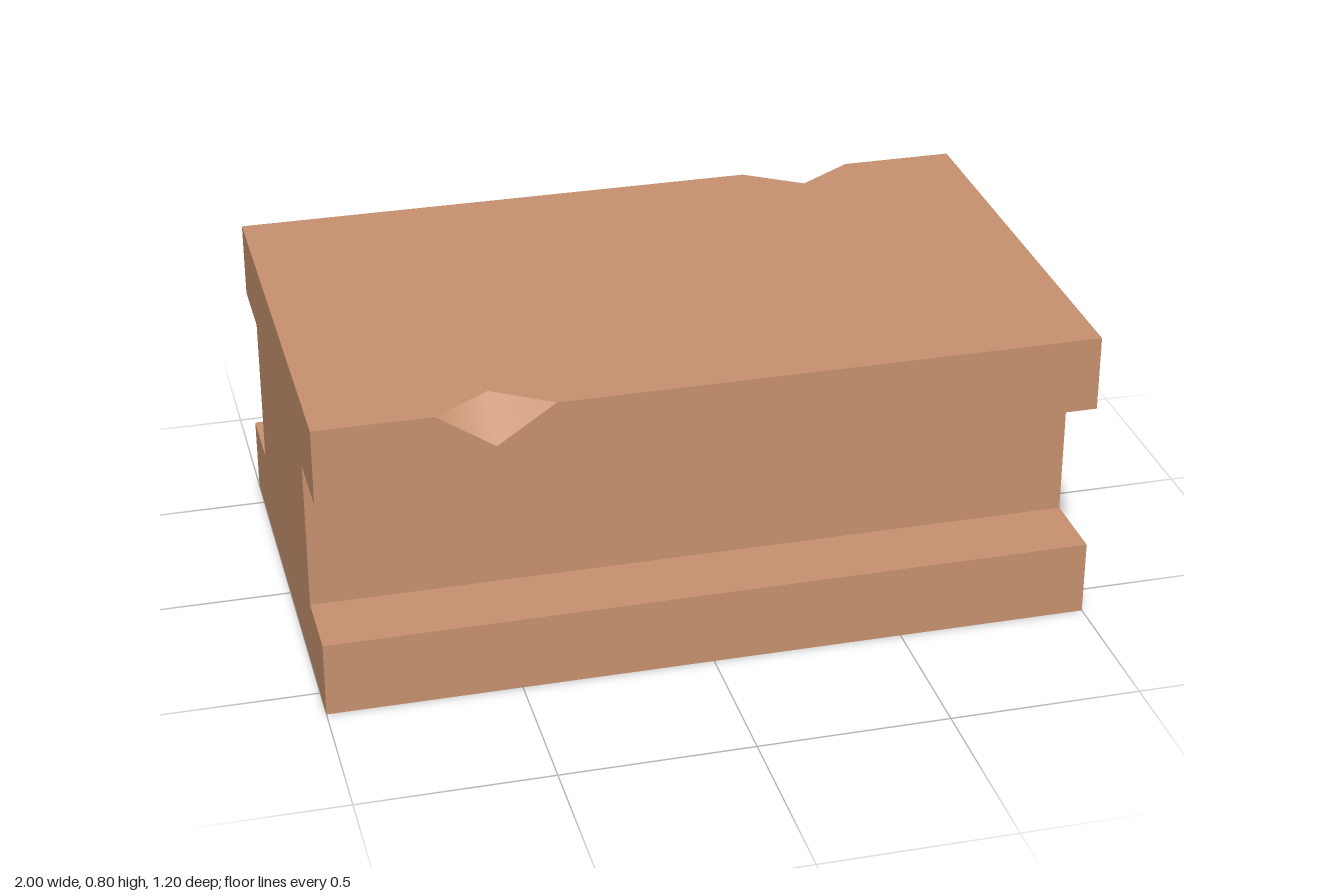
import * as THREE from 'three';

export function createModel() {
  const model = new THREE.Group();
  model.name = 'groovedBlock';
  const clay = new THREE.MeshStandardMaterial({ color: 0xc8926f });
  clay.name = 'clay';

  // Flat panel: a 2D outline (counter-clockwise) placed in space by a mapping rule
  function panel(parent, name, outline, place) {
    const shape = new THREE.Shape(outline.map(([u, v]) => new THREE.Vector2(u, v)));
    const geometry = new THREE.ShapeGeometry(shape);
    const pos = geometry.attributes.position;
    for (let i = 0; i < pos.count; i++) pos.setXYZ(i, ...place(pos.getX(i), pos.getY(i)));
    geometry.computeVertexNormals();
    const mesh = new THREE.Mesh(geometry, clay);
    mesh.name = name;
    parent.add(mesh);
  }

  // One long side with its end; the other half is the same, turned half round
  function createHalf(name) {
    const half = new THREE.Group();
    half.name = name;

    // Upper flange face, notched at its top edge
    panel(half, 'upperFlangeFace',
      [[-1, 0.6], [1, 0.6], [1, 0.8], [-0.4, 0.8], [-0.55, 0.7], [-0.7, 0.8], [-1, 0.8]],
      (x, y) => [x, y, 0.6]);

    // Groove and lower flange, as strips down the profile (z, y)
    const profile = [[0.6, 0.6], [0.4, 0.6], [0.4, 0.2], [0.6, 0.2], [0.6, 0]];
    const names = ['grooveCeiling', 'grooveWall', 'grooveFloor', 'lowerFlangeFace'];
    names.forEach((part, i) => {
      const [za, ya] = profile[i];
      const [zb, yb] = profile[i + 1];
      panel(half, part, [[-1, 0], [1, 0], [1, 1], [-1, 1]],
        (x, t) => [x, yb + (ya - yb) * t, zb + (za - zb) * t]);
    });

    // I-shaped end
    panel(half, 'endFace',
      [[-0.6, 0], [0.6, 0], [0.6, 0.2], [0.4, 0.2], [0.4, 0.6], [0.6, 0.6],
        [0.6, 0.8], [-0.6, 0.8], [-0.6, 0.6], [-0.4, 0.6], [-0.4, 0.2], [-0.6, 0.2]],
      (u, y) => [1, y, -u]);

    // Chipped notch: two faces sharing smooth normals
    const chip = new THREE.BufferGeometry();
    chip.setAttribute('position', new THREE.Float32BufferAttribute([
      -0.7, 0.8, 0.6, -0.4, 0.8, 0.6, -0.55, 0.7, 0.6, -0.55, 0.8, 0.5], 3));
    chip.setIndex([0, 2, 3, 1, 3, 2]);
    chip.computeVertexNormals();
    const notch = new THREE.Mesh(chip, clay);
    notch.name = 'notch';
    half.add(notch);
    return half;
  }

  const front = createHalf('frontHalf');
  const back = createHalf('backHalf');
  back.rotation.y = Math.PI;
  model.add(front, back);

  // Top with a notch in each long edge, and plain underside
  const topEdge = [[-1, -0.6], [-0.7, -0.6], [-0.55, -0.5], [-0.4, -0.6], [1, -0.6]];
  panel(model, 'topFace', [...topEdge, ...topEdge.map(([u, v]) => [-u, -v])],
    (x, v) => [x, 0.8, -v]);
  panel(model, 'underside', [[-1, -0.6], [1, -0.6], [1, 0.6], [-1, 0.6]],
    (x, z) => [x, 0, z]);

  return model;
}
